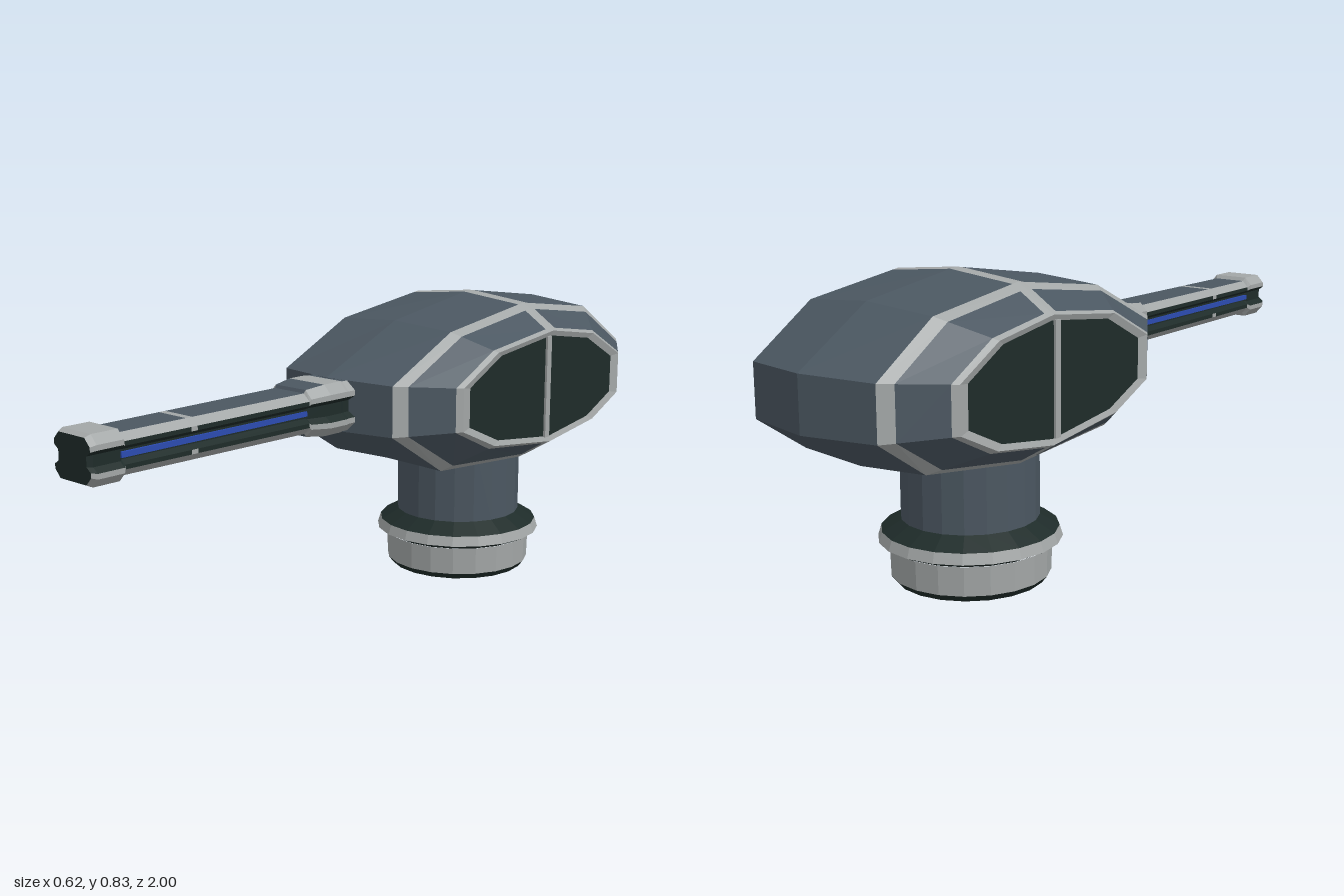
import * as THREE from 'three';

const mat = (name, color, flat = true) => {
  const m = new THREE.MeshStandardMaterial({ color, flatShading: flat });
  m.name = name;
  return m;
};

export function createModel() {
  const slate = mat('slate', 0x4b5761);
  const light = mat('lightGrey', 0xa3a7a7);
  const dark = mat('darkGreen', 0x1e2b29);
  const blue = mat('blue', 0x2b4bb0);
  const root = new THREE.Group();
  root.name = 'turret';

  // Skins closed loops; matOf(band, segment) picks the colour, caps close the ends
  function skin(name, rows, matOf, startCap, endCap) {
    const group = new THREE.Group();
    group.name = name;
    const lists = new Map();
    const tri = (m, ...pts) => {
      if (!lists.has(m)) lists.set(m, []);
      pts.forEach(p => lists.get(m).push(...p));
    };
    const n = rows[0].length;
    for (let i = 0; i < rows.length - 1; i++) {
      for (let j = 0; j < n; j++) {
        const k = (j + 1) % n, a = rows[i], b = rows[i + 1], m = matOf(i, j);
        tri(m, a[j], b[j], b[k]);
        tri(m, a[j], b[k], a[k]);
      }
    }
    const cap = (row, m, flip) => {
      const c = [0, 1, 2].map(d => row.reduce((s, p) => s + p[d], 0) / n);
      for (let j = 0; j < n; j++) {
        const p = row[j], q = row[(j + 1) % n];
        if (flip) tri(m, c, q, p); else tri(m, c, p, q);
      }
    };
    if (startCap) cap(rows[0], startCap, false);
    if (endCap) cap(rows[rows.length - 1], endCap, true);
    lists.forEach((pos, m) => {
      const g = new THREE.BufferGeometry();
      g.setAttribute('position', new THREE.Float32BufferAttribute(pos, 3));
      g.computeVertexNormals();
      const mesh = new THREE.Mesh(g, m);
      mesh.name = name + '_' + m.name;
      group.add(mesh);
    });
    root.add(group);
  }

  // Hull outlines as [z, y], from the front top edge over the roof and back below
  const mid = [[.16, .65], [-.12, .775], [-.455, .83], [-.775, .785], [-1, .65],
    [-1, .505], [-.81, .39], [-.455, .36], [-.09, .38], [.16, .505]];
  const shoulder = [[.115, .645], [-.125, .762], [-.455, .81], [-.765, .768], [-.955, .645],
    [-.955, .505], [-.8, .4], [-.455, .35], [-.09, .375], [.115, .505]];
  const side = [[-.05, .63], [-.2, .708], [-.455, .74], [-.66, .708], [-.8, .63],
    [-.8, .51], [-.67, .447], [-.455, .415], [-.19, .447], [-.05, .51]];
  const lerp = (a, b, t) => a.map((v, i) => v + (b[i] - v) * t);
  const blend = (A, B, t) => A.map((p, i) => lerp(p, B[i], t));
  const shrink = (A, s) => A.map(([z, y]) => [-.43 + (z + .43) * s, .578 + (y - .578) * s]);

  // Adds the edges of the cross stripe on roof and belly
  const outline = A => A.flatMap((p, i) => {
    if (i !== 2 && i !== 7) return [p];
    const near = q => lerp(p, q, .022 / Math.abs(q[0] - p[0]));
    return [near(A[i - 1]), p, near(A[i + 1])];
  });
  const half = [
    [.304, shrink(side, .91)],
    [.31, side],
    [.298, blend(shoulder, side, .89)],
    [.225, blend(shoulder, side, .22)],
    [.2, shoulder],
    [0, mid],
  ];
  const row = (x, A) => outline(A).map(([z, y]) => [x, y, z]);
  const hullRows = [
    ...half.map(([x, A]) => row(-x, A)),
    ...half.slice(0, -1).reverse().map(([x, A]) => row(x, A)),
  ];
  const bands = [light, light, slate, light, slate];
  skin('hull', hullRows, (i, j) => {
    const stripe = j === 2 || j === 3 || j === 9 || j === 10;
    return stripe ? light : bands[Math.min(i, 9 - i)];
  }, dark, dark);

  const box = (name, m, w, h, d, x, y, z) => {
    const mesh = new THREE.Mesh(new THREE.BoxGeometry(w, h, d), m);
    mesh.name = name;
    mesh.position.set(x, y, z);
    root.add(mesh);
  };

  // Window bars
  for (const s of [-1, 1]) box('windowBar', light, .008, .295, .02, s * .307, .578, -.438);

  // Barrel section with grooved sides, clockwise seen from the front
  const quarter = [[.065, .07], [.09, .045], [.09, .03], [.07, .016]];
  const right = [...quarter, ...quarter.map(([x, y]) => [x, -y]).reverse()];
  const section = [...right, ...right.map(([x, y]) => [-x, -y])];
  // Stations along the barrel: z, width scale, height scale
  const stations = [
    [.05, .98, .98], [.165, .98, .98], [.175, 1, 1], [.235, 1, 1], [.295, .86, .9],
    [.3, .83, .78], [.68, .78, .76], [.7, .78, .76], [.9, .75, .75],
    [.908, .83, .9], [.985, .83, .9], [1, .76, .8],
  ];
  const barrelRows = stations.map(([z, sx, sy]) =>
    section.map(([x, y]) => [x * sx, .58 + y * sy, z]));
  skin('barrel', barrelRows, (i, j) => {
    const e = j % 8;
    if (e >= 2 && e <= 4) return dark;              // groove
    const bright = i === 1 || i === 2 || i === 6 || i >= 8;
    if (bright) return light;
    if (e === 7) return slate;                      // top and bottom panels
    if (e === 0 || e === 6) return light;           // chamfers
    return i < 5 ? light : dark;                    // flanks
  }, null, dark);

  // Glowing lines in the grooves
  for (const s of [-1, 1]) box('glowLine', blue, .008, .014, .61, s * .057, .58, .6);

  // Pedestal, built from turned bands
  const turned = (name, m, pts) => {
    const g = new THREE.LatheGeometry(pts.map(p => new THREE.Vector2(...p)), 20);
    const mesh = new THREE.Mesh(g, m);
    mesh.name = name;
    mesh.position.z = -.415;
    root.add(mesh);
  };
  turned('foot', dark, [[0, 0], [.2, 0], [.214, .018]]);
  turned('footBand', light, [[.214, .018], [.216, .097]]);
  turned('flangeUnderside', dark, [[.214, .097], [.245, .112]]);
  turned('flangeRim', light, [[.245, .112], [.236, .14]]);
  turned('flangeTop', dark, [[.236, .14], [.184, .17]]);
  turned('neck', slate, [[.184, .17], [.184, .4]]);

  return root;
}
